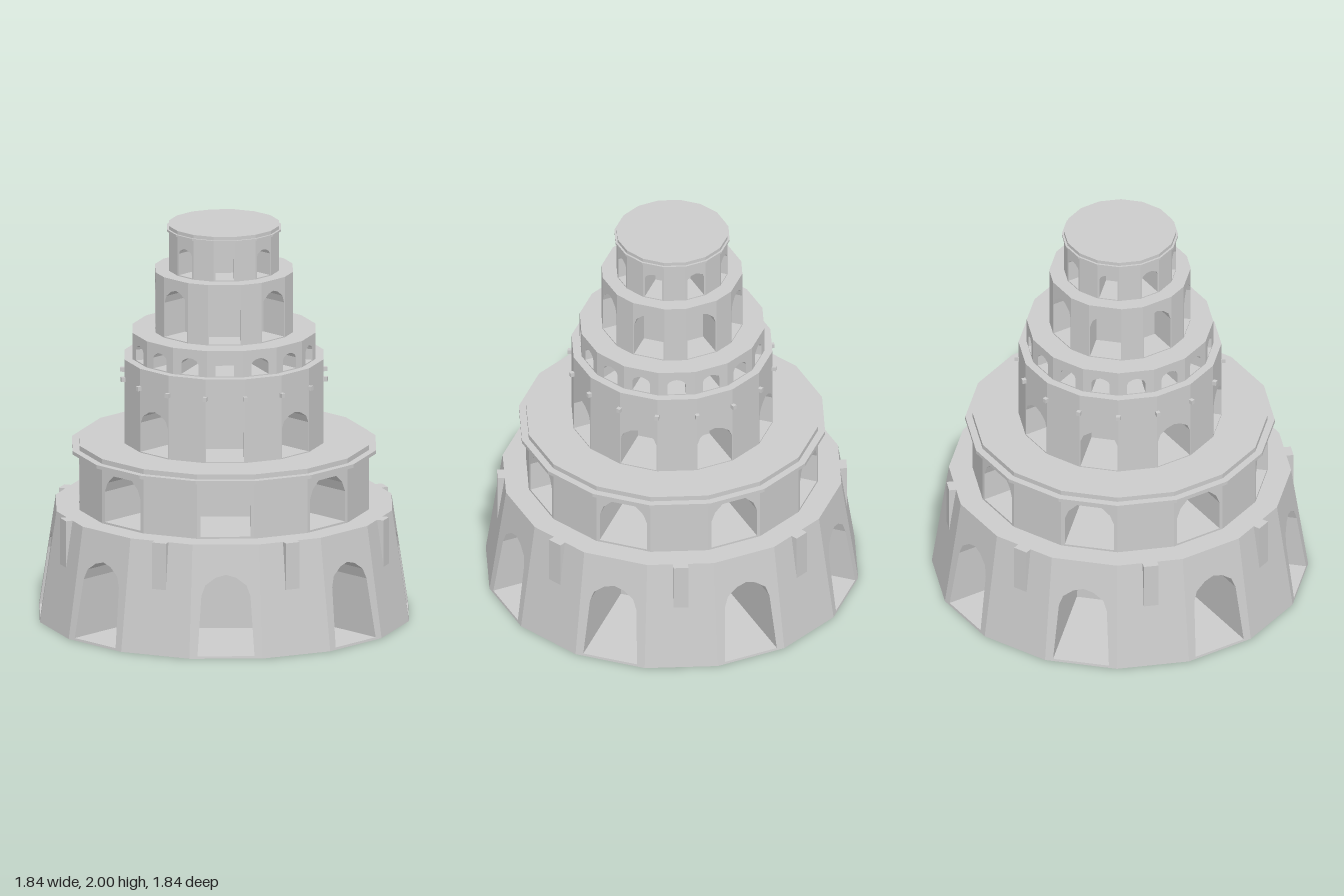
import * as THREE from 'three';

const material = new THREE.MeshStandardMaterial({ color: 0xcccccc, flatShading: true });

// Arch heads: [fraction of half width, fraction of rise]
const pointed = [[1, 0], [0.84, 0.5], [0.42, 0.86], [0, 1]];
const flat = [[1, 0], [0.84, 0.55], [0.5, 1]];

// Each storey: wall heights, distance of wall faces from the axis (bottom, top),
// niche count, half angle of a niche face, and the niche outline
const HALF = Math.PI / 16;
const storeys = [
  { name: 'base', y0: 0, y1: 0.565, r0: 0.918, r1: 0.835, n: 8, half: HALF, w0: 0.142, w1: 0.122, sill: 0.012, spring: 0.31, apex: 0.415, head: pointed },
  { name: 'secondStorey', y0: 0.565, y1: 0.895, r0: 0.72, r1: 0.72, n: 8, half: HALF, w0: 0.125, w1: 0.125, sill: 0.575, spring: 0.73, apex: 0.82, head: flat },
  { name: 'thirdStorey', y0: 0.895, y1: 1.325, r0: 0.495, r1: 0.495, n: 8, half: HALF, w0: 0.094, w1: 0.094, sill: 0.9, spring: 1.05, apex: 1.12, head: pointed },
  { name: 'gallery', y0: 1.325, y1: 1.46, r0: 0.455, r1: 0.455, n: 16, half: HALF, w0: 0.046, w1: 0.046, sill: 1.33, spring: 1.385, apex: 1.415, head: pointed },
  { name: 'fourthStorey', y0: 1.46, y1: 1.77, r0: 0.342, r1: 0.342, n: 8, half: Math.atan(0.083 / 0.342), w0: 0.078, w1: 0.078, sill: 1.465, spring: 1.64, apex: 1.715, head: pointed },
  { name: 'lantern', y0: 1.77, y1: 2, r0: 0.274, r1: 0.274, n: 8, half: HALF, w0: 0.046, w1: 0.046, sill: 1.775, spring: 1.885, apex: 1.915, head: pointed },
];

function mesh(name, geometry, parent) {
  const m = new THREE.Mesh(geometry, material);
  m.name = name;
  parent.add(m);
  return m;
}

// Geometry from a list of triangle corners
function fromCorners(points) {
  const g = new THREE.BufferGeometry().setFromPoints(points);
  g.computeVertexNormals();
  return g;
}
const quad = (a, b, c, d) => [a, b, c, a, c, d];
const vec = (x, y, z) => new THREE.Vector3(x, y, z);

// Flat shape whose depth follows a rule of height
function sheet(shape, depth) {
  const g = new THREE.ShapeGeometry(shape);
  const p = g.attributes.position;
  for (let i = 0; i < p.count; i++) p.setZ(i, depth(p.getY(i)));
  g.computeVertexNormals();
  return g;
}

function archOutline(s) {
  const rise = s.apex - s.spring;
  const right = s.head.map(([u, v]) => new THREE.Vector2(u * s.w1, s.spring + v * rise));
  const left = right.filter((p) => p.x > 0).reverse().map((p) => new THREE.Vector2(-p.x, p.y));
  return [new THREE.Vector2(-s.w0, s.sill), new THREE.Vector2(s.w0, s.sill), ...right, ...left];
}

function makeStorey(s) {
  const group = new THREE.Group();
  group.name = s.name;
  const wall = (y) => THREE.MathUtils.mapLinear(y, s.y0, s.y1, s.r0, s.r1);
  const f = Math.tan(s.half);
  const step = (2 * Math.PI) / s.n;
  const back = (1.05 * s.w0) / Math.tan(step / 2);
  const arch = archOutline(s);

  // Wall face with an arched opening
  const face = new THREE.Shape([
    new THREE.Vector2(-f * s.r0, s.y0), new THREE.Vector2(f * s.r0, s.y0),
    new THREE.Vector2(f * s.r1, s.y1), new THREE.Vector2(-f * s.r1, s.y1),
  ]);
  face.holes.push(new THREE.Path(arch));
  const faceGeometry = sheet(face, wall);

  // Deep vaulted niche behind the opening
  const vault = [];
  arch.forEach((p, i) => {
    const q = arch[(i + 1) % arch.length];
    vault.push(...quad(vec(p.x, p.y, wall(p.y)), vec(q.x, q.y, wall(q.y)), vec(q.x, q.y, back), vec(p.x, p.y, back)));
  });
  const vaultGeometry = fromCorners(vault);
  const backGeometry = sheet(new THREE.Shape(arch), () => back);

  // Plain face between two niche faces
  const corner = (side, y, angle) => vec(side * f * wall(y), y, wall(y)).applyAxisAngle(vec(0, 1, 0), angle);
  const plainGeometry = fromCorners(quad(corner(1, s.y0, 0), corner(-1, s.y0, step), corner(-1, s.y1, step), corner(1, s.y1, 0)));

  const topRing = [], bottomRing = [];
  for (let k = 0; k < s.n; k++) {
    const bay = new THREE.Group();
    bay.name = 'bay';
    bay.rotation.y = k * step;
    mesh('archedWall', faceGeometry, bay);
    mesh('nicheVault', vaultGeometry, bay);
    mesh('nicheBack', backGeometry, bay);
    if (s.half < step / 2 - 0.001) mesh('plainWall', plainGeometry, bay);
    group.add(bay);
    for (const side of [-1, 1]) {
      topRing.push(corner(side, s.y1, k * step));
      bottomRing.push(corner(side, s.y0, k * step));
    }
  }

  // Flat terrace on top and underside below
  const top = [], bottom = [];
  topRing.forEach((p, i) => {
    const j = (i + 1) % topRing.length;
    top.push(vec(0, s.y1, 0), p, topRing[j]);
    bottom.push(vec(0, s.y0, 0), bottomRing[j], bottomRing[i]);
  });
  mesh('terrace', fromCorners(top), group);
  mesh('underside', fromCorners(bottom), group);
  return group;
}

// Sixteen-sided moulding
function ring(name, apothem, y0, y1, parent) {
  const r = apothem / Math.cos(HALF);
  const m = mesh(name, new THREE.CylinderGeometry(r, r, y1 - y0, 16), parent);
  m.position.y = (y0 + y1) / 2;
  m.rotation.y = HALF;
}

export function createModel() {
  const tower = new THREE.Group();
  tower.name = 'tower';
  storeys.forEach((s) => tower.add(makeStorey(s)));

  ring('cornice', 0.755, 0.852, 0.87, tower);
  ring('topMoulding', 0.284, 1.972, 1.982, tower);

  // Leaning pilasters between the base niches
  const base = storeys[0];
  const pilaster = new THREE.BoxGeometry(0.075, base.y1, 0.09).translate(0, base.y1 / 2, 0);
  const p = pilaster.attributes.position;
  for (let i = 0; i < p.count; i++) {
    p.setZ(i, p.getZ(i) - 0.01 + (p.getY(i) > 0 ? base.r1 : base.r0));
  }
  pilaster.computeVertexNormals();
  for (let k = 0; k < 8; k++) {
    mesh('pilaster', pilaster, tower).rotation.y = (k + 0.5) * Math.PI / 4;
  }

  // Beam ends at the corners of the third storey
  const peg = new THREE.BoxGeometry(0.02, 0.022, 0.06).translate(0, 1.225, 0.494);
  for (let k = 0; k < 16; k++) {
    mesh('beamEnd', peg, tower).rotation.y = (k + 0.5) * Math.PI / 8;
  }
  return tower;
}
